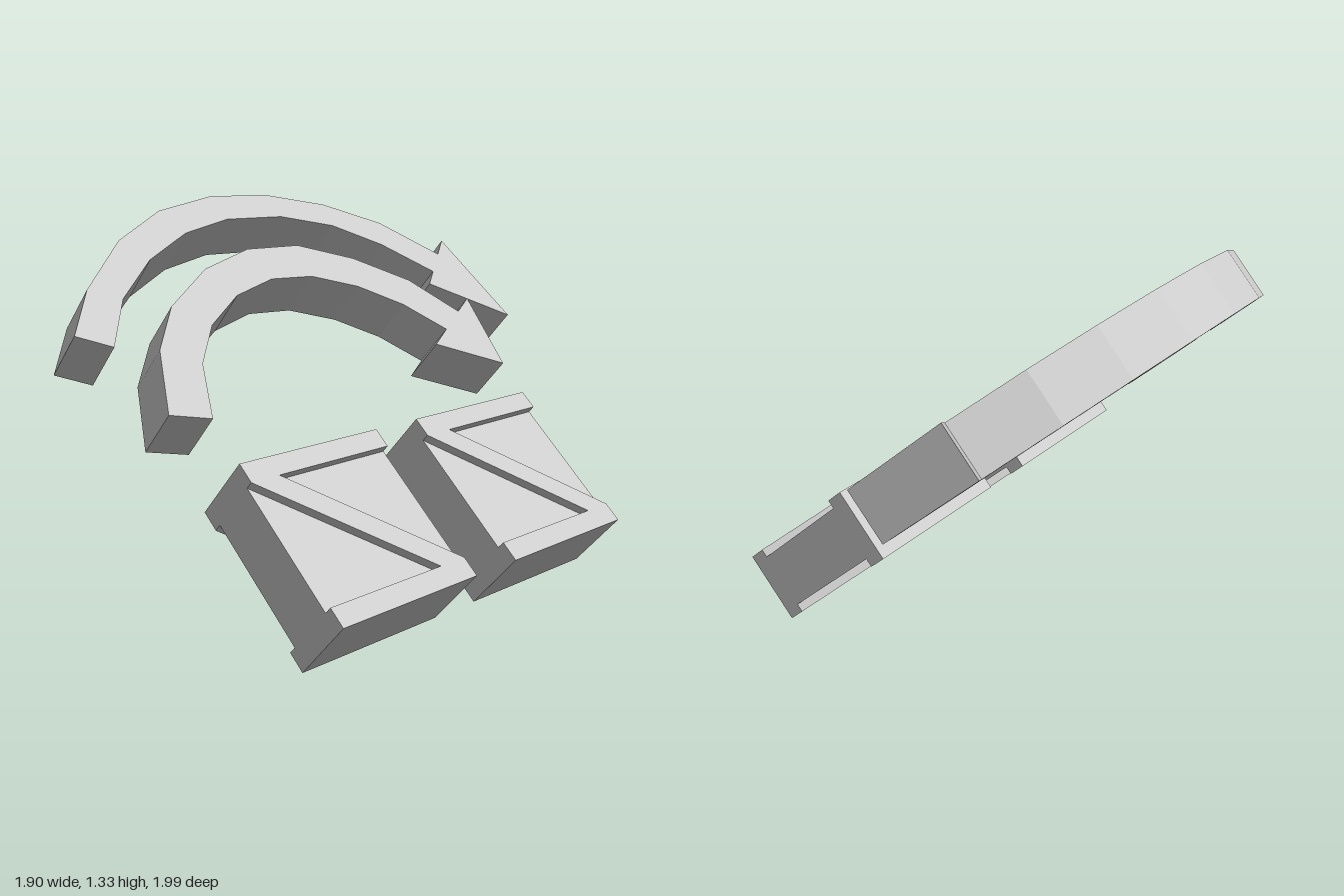
import * as THREE from 'three';

const SIZE = 0.6;      // panel side
const DEPTH = 0.26;    // panel overall depth
const RELIEF = 0.03;   // how far the boards stand proud
const BOARD = 0.072;   // board height

export function createModel() {
  const grey = new THREE.MeshStandardMaterial({ color: 0xcccccc });
  grey.name = 'light grey';

  const extrude = (name, points, depth, z) => {
    const shape = new THREE.Shape(points.map(([x, y]) => new THREE.Vector2(x, y)));
    const geometry = new THREE.ExtrudeGeometry(shape, { depth, bevelEnabled: false });
    const mesh = new THREE.Mesh(geometry, grey);
    mesh.name = name;
    mesh.position.z = z;
    return mesh;
  };

  // Z-shaped bracing: two boards joined by a diagonal
  const low = BOARD, high = SIZE - BOARD, d = 0.19 * SIZE;
  const brace = [
    [0, 0], [SIZE, 0], [SIZE, low], [d, high], [SIZE, high],
    [SIZE, SIZE], [0, SIZE], [0, high], [SIZE - d, low], [0, low],
  ];

  // Square panel braced on both faces, origin at its lower left front corner
  const makePanel = (name) => {
    const panel = new THREE.Group();
    panel.name = name;
    const core = new THREE.Mesh(new THREE.BoxGeometry(SIZE, SIZE, DEPTH - 2 * RELIEF), grey);
    core.name = 'panelCore';
    core.position.set(SIZE / 2, SIZE / 2, -DEPTH / 2);
    panel.add(core);
    panel.add(extrude('frontBrace', brace, RELIEF, -RELIEF));
    panel.add(extrude('backBrace', brace, RELIEF, -DEPTH));
    return panel;
  };

  // Curved arrow: outer edge, head, then inner edge back to the start
  const makeArrow = (name, outer, head, inner) =>
    extrude(name, [...outer, ...head, ...inner.slice().reverse()], 0.19, 0.564 - 0.19);

  // Everything lies in one plane, turned 45 degrees and leaning back
  const tilted = new THREE.Group();
  tilted.name = 'tiltedAssembly';
  tilted.rotation.set(-48 * Math.PI / 180, Math.PI / 4, 0, 'YXZ');

  [['leftPanel', -0.735], ['rightPanel', 0.065]].forEach(([name, x]) => {
    const panel = makePanel(name);
    panel.position.set(x, -0.373, 0.595);
    tilted.add(panel);
  });

  tilted.add(makeArrow('innerArrow',
    [[-0.845, 0.465], [-0.735, 0.71], [-0.59, 0.875], [-0.36, 1.016], [-0.122, 1.085],
      [0.12, 1.078], [0.346, 0.985], [0.55, 0.845], [0.69, 0.661]],
    [[0.79, 0.715], [0.721, 0.387], [0.45, 0.531]],
    [[-0.7, 0.42], [-0.61, 0.63], [-0.48, 0.775], [-0.3, 0.884], [-0.105, 0.936],
      [0.085, 0.925], [0.27, 0.85], [0.43, 0.735], [0.557, 0.589]]));

  tilted.add(makeArrow('outerArrow',
    [[-1, 0.812], [-0.86, 0.987], [-0.63, 1.18], [-0.392, 1.3], [-0.125, 1.353],
      [0.137, 1.341], [0.392, 1.27], [0.62, 1.148], [0.815, 0.955]],
    [[0.894, 1.022], [0.949, 0.603], [0.646, 0.813]],
    [[-0.888, 0.748], [-0.752, 0.931], [-0.556, 1.083], [-0.342, 1.186], [-0.12, 1.235],
      [0.138, 1.226], [0.362, 1.158], [0.545, 1.037], [0.715, 0.871]]));

  const model = new THREE.Group();
  model.name = 'panelsWithArrows';
  model.add(tilted);
  return model;
}
